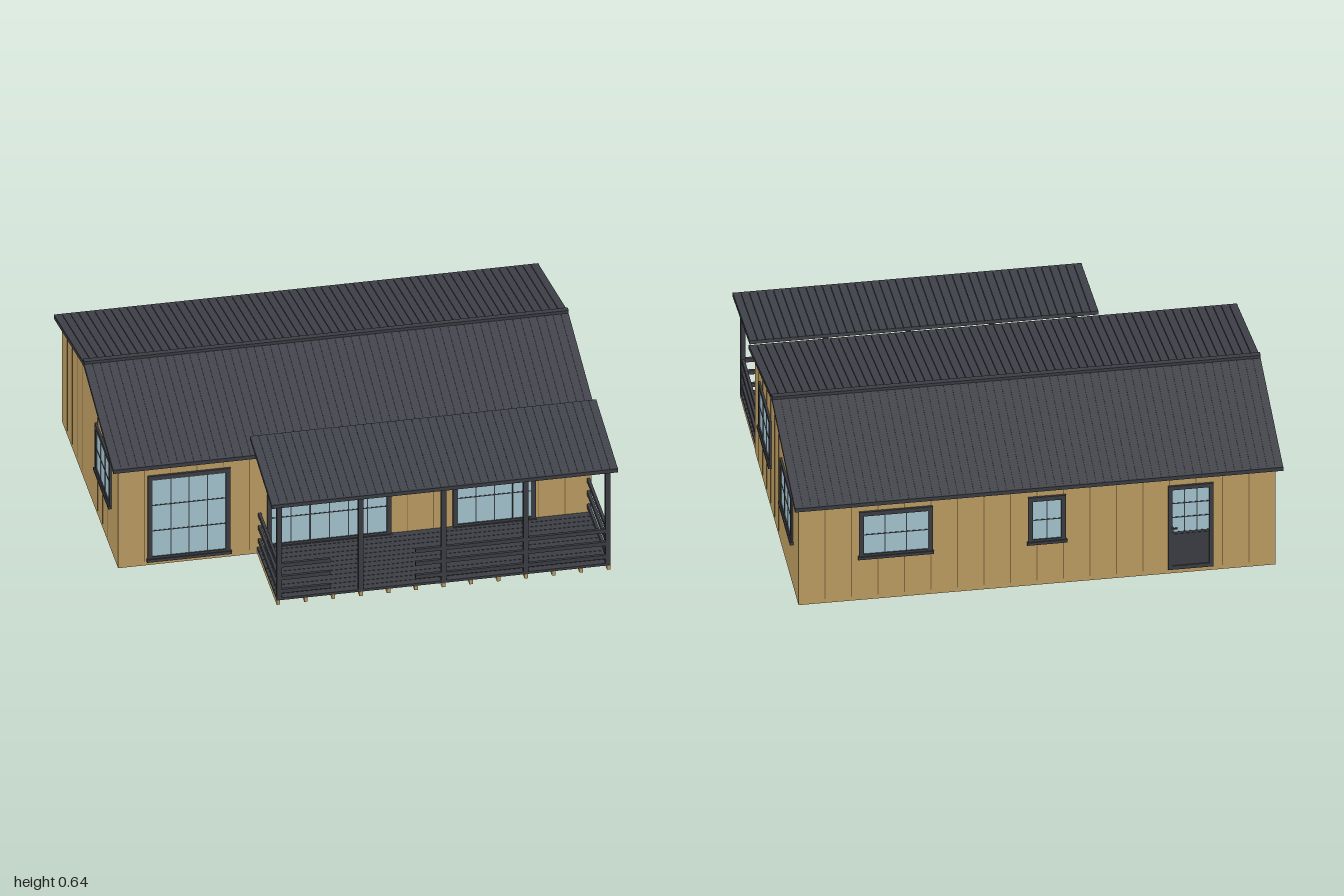
import * as THREE from 'three';
import { mergeGeometries } from 'three/addons/utils/BufferGeometryUtils.js';

const mat = (color) => new THREE.MeshStandardMaterial({ color });
const WOOD = mat(0xc0a064), SEAM = mat(0x80683c), DARK = mat(0x3c3e44), ROOF = mat(0x42444b), GLASS = mat(0xa8c8d4);

// Box geometry from its extents, non-indexed so it merges with extrusions
function span(x0, x1, y0, y1, z0, z1) {
  const g = new THREE.BoxGeometry(x1 - x0, y1 - y0, z1 - z0).toNonIndexed();
  return g.translate((x0 + x1) / 2, (y0 + y1) / 2, (z0 + z1) / 2);
}

// Closed (z, y) profile swept from x0 to x1
function sweepX(points, x0, x1) {
  const shape = new THREE.Shape(points.map(([z, y]) => new THREE.Vector2(z, y)));
  const g = new THREE.ExtrudeGeometry(shape, { depth: x1 - x0, bevelEnabled: false });
  return g.rotateY(-Math.PI / 2).translate(x1, 0, 0);
}

// Sloping slab below the line a-b
const slope = (a, b, t, x0, x1, lift = 0) => sweepX([
  [a[0], a[1] + lift], [b[0], b[1] + lift], [b[0], b[1] + lift - t], [a[0], a[1] + lift - t],
], x0, x1);

function add(parent, name, geometries, material) {
  const mesh = new THREE.Mesh(mergeGeometries(geometries), material);
  mesh.name = name;
  parent.add(mesh);
}

// Roof plane: base slab topped by narrow boards running down the slope
function roofPlane(parent, name, a, b, x0, x1) {
  const parts = [slope(a, b, 0.014, x0, x1, -0.003)];
  const n = Math.round((x1 - x0) / 0.033), w = (x1 - x0) / n;
  for (let i = 0; i < n; i++) {
    parts.push(slope(a, b, 0.005, x0 + i * w + 0.001, x0 + (i + 1) * w - 0.001));
  }
  add(parent, name, parts, ROOF);
}

// Rectangular frame facing +z, with its back on z = 0
function frame(w, h, t, depth) {
  const rect = (P, x, y) => new P().moveTo(-x, -y).lineTo(x, -y).lineTo(x, y).lineTo(-x, y).closePath();
  const s = rect(THREE.Shape, w / 2, h / 2);
  s.holes.push(rect(THREE.Path, w / 2 - t, h / 2 - t));
  return new THREE.ExtrudeGeometry(s, { depth, bevelEnabled: false });
}

// Glazing bars dividing a pane centred at height y
function bars(w, h, cols, rows, y = 0) {
  const out = [];
  for (let i = 1; i < cols; i++) {
    const x = -w / 2 + (w * i) / cols;
    out.push(span(x - 0.002, x + 0.002, y - h / 2, y + h / 2, 0, 0.006));
  }
  for (let j = 1; j < rows; j++) {
    const v = y - h / 2 + (h * j) / rows;
    out.push(span(-w / 2, w / 2, v - 0.002, v + 0.002, 0, 0.006));
  }
  return out;
}

function makeWindow(name, w, y0, y1, cols, rows) {
  const g = new THREE.Group(), h = y1 - y0;
  g.name = name;
  add(g, 'glass', [span(-w / 2 + 0.01, w / 2 - 0.01, -h / 2 + 0.01, h / 2 - 0.01, 0, 0.004)], GLASS);
  add(g, 'frame', [
    frame(w, h, 0.02, 0.009), ...bars(w - 0.04, h - 0.04, cols, rows),
    span(-w / 2 - 0.004, w / 2 + 0.004, -h / 2 - 0.003, -h / 2 + 0.01, 0, 0.014), // sill
  ], DARK);
  g.position.y = (y0 + y1) / 2;
  return g;
}

export function createModel() {
  const model = new THREE.Group();
  model.name = 'house';
  const X = 0.97, Z0 = -0.765, Z1 = 0.375, ZR = -0.195, EAVE = 0.479, PEAK = 0.614;
  const wallTop = (z) => PEAK - (Math.abs(z - ZR) * (PEAK - EAVE)) / (Z1 - ZR);

  // Gabled body
  add(model, 'walls', [sweepX([[Z0, 0.02], [Z1, 0.02], [Z1, EAVE], [ZR, PEAK], [Z0, EAVE]], -X, X)], WOOD);

  // Seams between the vertical wall boards
  const seams = [], s = 0.0015, p = 0.0008;
  for (let i = 1; i < 18; i++) {
    const x = -X + (2 * X * i) / 18;
    seams.push(span(x - s, x + s, 0.02, EAVE, Z1, Z1 + p), span(x - s, x + s, 0.02, EAVE, Z0 - p, Z0));
  }
  for (let i = 1; i < 11; i++) {
    const z = Z0 + ((Z1 - Z0) * i) / 11;
    for (const x of [-X - p, X]) seams.push(span(x, x + p, 0.02, wallTop(z), z - s, z + s));
  }
  add(model, 'wallSeams', seams, SEAM);

  // Floor joists and rims
  const joists = [span(-X, X, 0, 0.02, Z0, Z0 + 0.012), span(-X, X, 0, 0.02, Z1 - 0.012, Z1)];
  for (let i = 0; i <= 18; i++) {
    const x = -X + ((2 * X - 0.014) * i) / 18;
    joists.push(span(x, x + 0.014, 0, 0.021, Z0, Z1));
  }
  add(model, 'floorJoists', joists, WOOD);

  // Main roof
  const ridge = [ZR, 0.63];
  roofPlane(model, 'frontRoof', ridge, [0.41, 0.487], -0.997, 0.99);
  roofPlane(model, 'backRoof', [-0.8, 0.487], ridge, -0.997, 0.99);
  add(model, 'ridgeCap', [span(-0.997, 0.99, 0.619, 0.64, ZR - 0.012, ZR + 0.012)], DARK);
  add(model, 'eaveTrim', [
    span(-0.997, 0.99, 0.474, 0.488, 0.402, 0.411), span(-0.997, 0.99, 0.474, 0.488, -0.801, -0.792),
  ], DARK);

  // Porch roof
  roofPlane(model, 'porchRoof', [0.355, 0.546], [0.798, 0.487], -0.425, 0.995);
  add(model, 'porchRoofTrim', [span(-0.425, 0.995, 0.472, 0.488, 0.79, 0.8)], DARK);

  // Porch deck on joists
  const PX0 = -0.4, PX1 = 0.968, PZ = 0.775;
  const boards = [];
  for (let i = 0; i < 12; i++) {
    const z = Z1 + ((PZ - Z1) * i) / 12;
    boards.push(span(PX0, PX1, 0.019, 0.03, z, z + (PZ - Z1) / 12 - 0.002));
  }
  add(model, 'porchDeck', boards, DARK);
  const deckJoists = [];
  for (let i = 0; i < 13; i++) {
    const x = PX0 + ((PX1 - PX0 - 0.014) * i) / 12;
    deckJoists.push(span(x, x + 0.014, 0, 0.02, Z1, PZ));
  }
  add(model, 'deckJoists', deckJoists, WOOD);

  // Posts
  const posts = [-0.39, -0.055, 0.285, 0.622, 0.958];
  add(model, 'porchPosts', posts.map((x) => span(x - 0.01, x + 0.01, 0.028, 0.48, 0.757, 0.777)), DARK);

  // Rails: two front runs with an entry gap, plus both sides
  const rails = [];
  for (const y of [0.06, 0.122, 0.182]) {
    for (const [a, b] of [[-0.39, -0.18], [0.17, 0.958]]) rails.push(span(a, b, y - 0.009, y + 0.009, 0.761, 0.773));
    for (const x of [-0.39, 0.958]) rails.push(span(x - 0.006, x + 0.006, y - 0.009, y + 0.009, Z1, 0.767));
  }
  add(model, 'porchRails', rails, DARK);

  // Windows: name, side, centre along the wall, width, bottom, top, columns, rows
  const sides = {
    front: (c) => [c, Z1, 0], back: (c) => [c, Z0, Math.PI],
    left: (c) => [X, c, Math.PI / 2], right: (c) => [-X, c, -Math.PI / 2],
  };
  const place = (obj, side, c) => {
    const [x, z, turn] = sides[side](c);
    obj.position.x = x;
    obj.position.z = z;
    obj.rotation.y = turn;
    model.add(obj);
  };
  for (const [name, side, c, w, y0, y1, cols, rows] of [
    ['frontWindowRight', 'front', -0.68, 0.34, 0.022, 0.422, 4, 3],
    ['frontWindowMiddle', 'front', -0.105, 0.51, 0.022, 0.422, 6, 3],
    ['frontWindowLeft', 'front', 0.572, 0.34, 0.022, 0.422, 4, 3],
    ['leftFrontWindow', 'left', 0.09, 0.3, 0.203, 0.425, 3, 2],
    ['leftBackWindow', 'left', -0.475, 0.3, 0.203, 0.425, 3, 2],
    ['rightWindow', 'right', 0.09, 0.3, 0.203, 0.425, 3, 2],
    ['backWindow', 'back', 0.575, 0.3, 0.203, 0.425, 3, 2],
    ['smallBackWindow', 'back', -0.04, 0.155, 0.203, 0.425, 2, 2],
  ]) place(makeWindow(name, w, y0, y1, cols, rows), side, c);

  // Back door: glazed upper half, boarded lower half, handle
  const door = new THREE.Group();
  door.name = 'backDoor';
  add(door, 'doorGlass', [span(-0.078, 0.078, -0.02, 0.185, 0, 0.004)], GLASS);
  const panel = [frame(0.185, 0.4, 0.018, 0.009), span(-0.08, 0.08, -0.19, -0.02, 0, 0.005)];
  for (let i = 0; i < 5; i++) panel.push(span(-0.073 + i * 0.03, -0.047 + i * 0.03, -0.18, -0.03, 0, 0.007));
  add(door, 'doorFrame', [...panel, ...bars(0.15, 0.2, 3, 3, 0.082)], DARK);
  add(door, 'doorHandle', [span(-0.08, -0.072, -0.02, 0.005, 0, 0.014), span(-0.08, -0.055, -0.004, 0.002, 0.01, 0.015)], DARK);
  door.position.y = 0.222;
  place(door, 'back', -0.625);

  return model;
}
